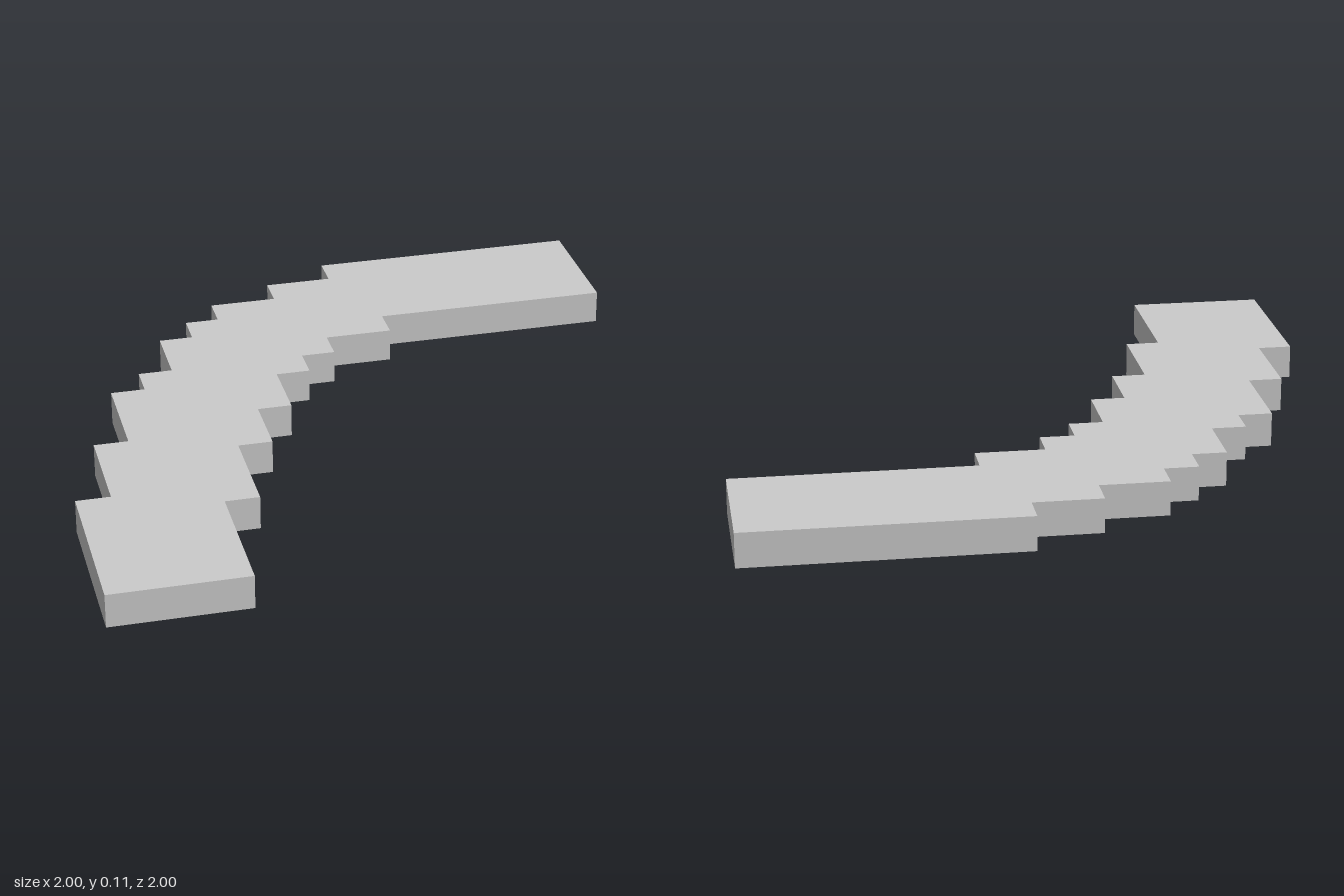
import * as THREE from 'three';

const CELL = 1 / 9; // the slab is laid out on an 18 x 18 cell grid

// Plan of the stepped curve in cells: each entry is [x, z] where a run along z ends,
// followed by a step sideways to the next x.
const outerSteps = [[-9, 4], [-8, 1], [-7, -2], [-6, -3], [-5, -5], [-4, -6], [-3, -7], [-1, -8], [1, -9]];
const innerSteps = [[2, -5], [0, -4], [-1, -3], [-2, -2], [-3, 0], [-4, 2], [-5, 5]];

function planOutline() {
  const pts = [[-9, 9]];
  // outer edge, from the front end round to the far end
  outerSteps.forEach(([x, z], i) => {
    pts.push([x, z], [i + 1 < outerSteps.length ? outerSteps[i + 1][0] : 9, z]);
  });
  // inner edge, back to the front end
  pts.push([9, -5]);
  innerSteps.forEach(([x, z], i) => {
    pts.push([x, z], [x, i + 1 < innerSteps.length ? innerSteps[i + 1][1] : 9]);
  });
  return pts.map(([x, z]) => new THREE.Vector2(x * CELL, -z * CELL));
}

export function createModel() {
  const group = new THREE.Group();
  group.name = 'curvedSlab';

  // Flat slab one cell thick, extruded upward from the plan
  const geometry = new THREE.ExtrudeGeometry(new THREE.Shape(planOutline()), {
    depth: CELL,
    bevelEnabled: false,
  });
  geometry.rotateX(-Math.PI / 2);

  const slab = new THREE.Mesh(
    geometry,
    new THREE.MeshStandardMaterial({ color: 0xcccccc, flatShading: true })
  );
  slab.name = 'steppedSlab';
  group.add(slab);
  return group;
}
